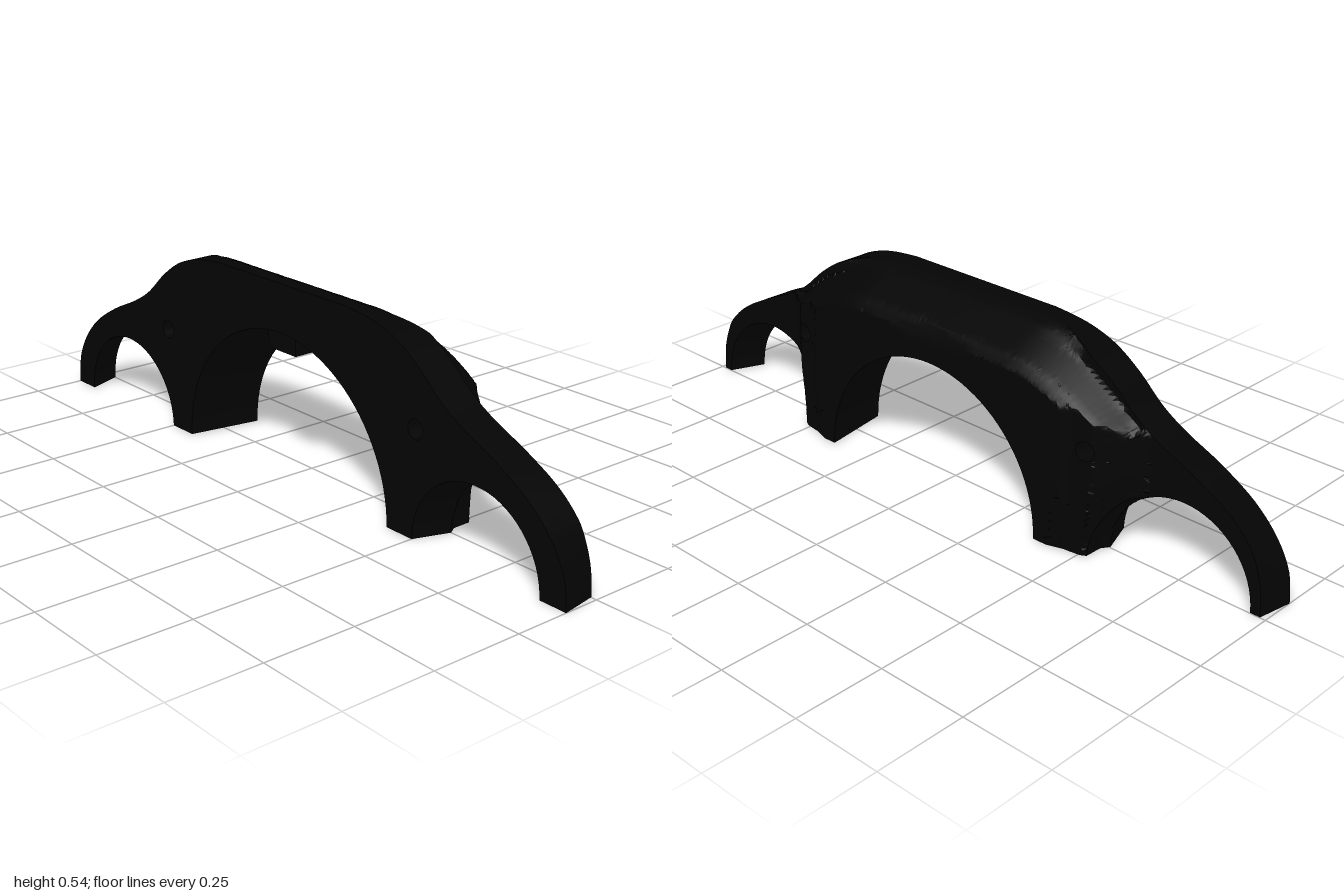
import * as THREE from 'three';
import { toCreasedNormals } from 'three/addons/utils/BufferGeometryUtils.js';

const FRONT = 0.1;
const clamp01 = (v) => Math.min(1, Math.max(0, v));

// Piecewise linear lookup through [input, output] pairs
function lookup(table, v) {
  if (v <= table[0][0]) return table[0][1];
  for (let i = 1; i < table.length; i++) {
    const [a, fa] = table[i - 1], [b, fb] = table[i];
    if (v <= b) return fa + (fb - fa) * (v - a) / (b - a);
  }
  return table[table.length - 1][1];
}

// Depth of the rear surface: boss in the middle, sloped flanks and top, thin arms
const flank = [[0.44, -0.104], [0.47, -0.089], [0.53, -0.08], [0.56, -0.053], [0.64, 0]];
const crown = [[0.435, -0.104], [0.452, -0.092], [0.465, -0.08], [0.51, 0],
  [0.52, 0.018], [0.53, 0.045], [0.535, 0.07]];
function rearDepth(x, y) {
  const shoulder = Math.max(0, Math.min(x, 0.6) - 0.25);
  let top = lookup(crown, y + 1.27 * shoulder * shoulder);
  if (top > 0) top *= clamp01((0.45 - x) / 0.2);
  return Math.max(lookup(flank, x), top);
}

const smooth = (pts, n) =>
  new THREE.SplineCurve(pts.map(([x, y]) => new THREE.Vector2(x, y))).getPoints(n);

// Elliptical arch from angle a0 to a1
function arch(cx, rx, ry, a0, a1, n) {
  return Array.from({ length: n + 1 }, (_, i) => {
    const a = a0 + (a1 - a0) * i / n;
    return new THREE.Vector2(cx + rx * Math.cos(a), Math.max(0, ry * Math.sin(a)));
  });
}

// Full outline of the front face: a large arch flanked by two small ones
function outline() {
  const outer = smooth([[1, 0], [0.99, 0.08], [0.95, 0.155], [0.88, 0.225], [0.78, 0.285],
    [0.67, 0.335], [0.595, 0.38], [0.52, 0.445], [0.44, 0.496], [0.35, 0.524], [0.25, 0.535]], 40);
  const small = arch(0.71, 0.21, 0.21, Math.PI, 0, 32);
  const big = arch(0, 0.41, 0.402, Math.PI / 2, 0, 24);
  const half = [...big, ...small, ...outer];
  const mirrored = half.slice(1).reverse().map((p) => new THREE.Vector2(-p.x, p.y));
  const shape = new THREE.Shape([...half, ...mirrored]);
  for (const s of [-1, 1]) {
    const hole = new THREE.Path();
    hole.absarc(s * 0.508, 0.288, 0.026, 0, Math.PI * 2, true);
    shape.holes.push(hole);
  }
  return shape;
}

// Split long edges so the surface can bend
function subdivide(geometry, limit) {
  const src = geometry.index ? geometry.toNonIndexed() : geometry;
  const p = src.attributes.position, out = [], stack = [];
  for (let i = 0; i < p.count; i += 3) {
    stack.push([0, 1, 2].map((k) => new THREE.Vector3().fromBufferAttribute(p, i + k)));
  }
  while (stack.length) {
    const t = stack.pop();
    const d = [0, 1, 2].map((k) => t[k].distanceToSquared(t[(k + 1) % 3]));
    const k = d.indexOf(Math.max(...d));
    if (d[k] <= limit * limit) {
      t.forEach((v) => out.push(v.x, v.y, v.z));
      continue;
    }
    const a = t[k], b = t[(k + 1) % 3], c = t[(k + 2) % 3];
    const m = a.clone().add(b).multiplyScalar(0.5);
    stack.push([a, m, c], [m, b, c]);
  }
  const result = new THREE.BufferGeometry();
  result.setAttribute('position', new THREE.Float32BufferAttribute(out, 3));
  return result;
}

function bodyGeometry() {
  const geo = subdivide(
    new THREE.ExtrudeGeometry(outline(), { depth: 1, bevelEnabled: false, curveSegments: 10 })
      .scale(1, 1, 0.2), 0.014);
  const p = geo.attributes.position;
  for (let i = 0; i < p.count; i++) {
    const s = Math.sign(p.getX(i));
    const x0 = Math.abs(p.getX(i)), y0 = p.getY(i);
    const back = 1 - p.getZ(i) / 0.2;
    const depthAt = (x) => FRONT - back * (FRONT - rearDepth(x, y0));
    // Main arch narrows towards the rear
    const nearMain = clamp01(1 - (Math.hypot(x0 / 0.41, y0 / 0.402) - 1) / 0.15);
    const narrow = 1 - 0.093 * nearMain * back;
    // Small arches lean outwards through the plate, arm tips taper slightly
    const nearSmall = clamp01(1 - (Math.hypot(x0 - 0.71, y0) - 0.21) / 0.08);
    const lean = 0.037 * nearSmall - 0.015 * clamp01((x0 - 0.94) / 0.06);
    const z = depthAt(x0 + lean * Math.min(1, 2 * back));
    let x = x0 * narrow + lean * clamp01((FRONT - z) / FRONT);
    let y = y0 * narrow;
    // Clearance step around the small arches behind the arms
    const dx = x - 0.747, r = Math.hypot(dx, y);
    if (z < 0 && dx < 0) {
      const push = 0.015 * clamp01(-z / 0.02) * clamp01(1 - (r - 0.21) / 0.07);
      x += push * dx / r;
      y += push * y / r;
    }
    p.setXYZ(i, s * x, y, z);
  }
  return toCreasedNormals(geo, 0.5);
}

export function createModel() {
  const black = new THREE.MeshStandardMaterial({ color: 0x040404 });
  black.name = 'matte black';
  const model = new THREE.Group();
  model.name = 'archedBracket';

  const body = new THREE.Mesh(bodyGeometry(), black);
  body.name = 'archedBody';
  model.add(body);

  // Locating tab hanging from the crown of the main arch
  const tab = new THREE.Mesh(new THREE.BoxGeometry(0.11, 0.06, 0.08), black);
  tab.name = 'locatingTab';
  tab.position.set(0, 0.38, 0.055);
  model.add(tab);

  // Slight forward lean
  model.rotation.x = 0.0125;
  model.position.y = 0.001;
  return model;
}
